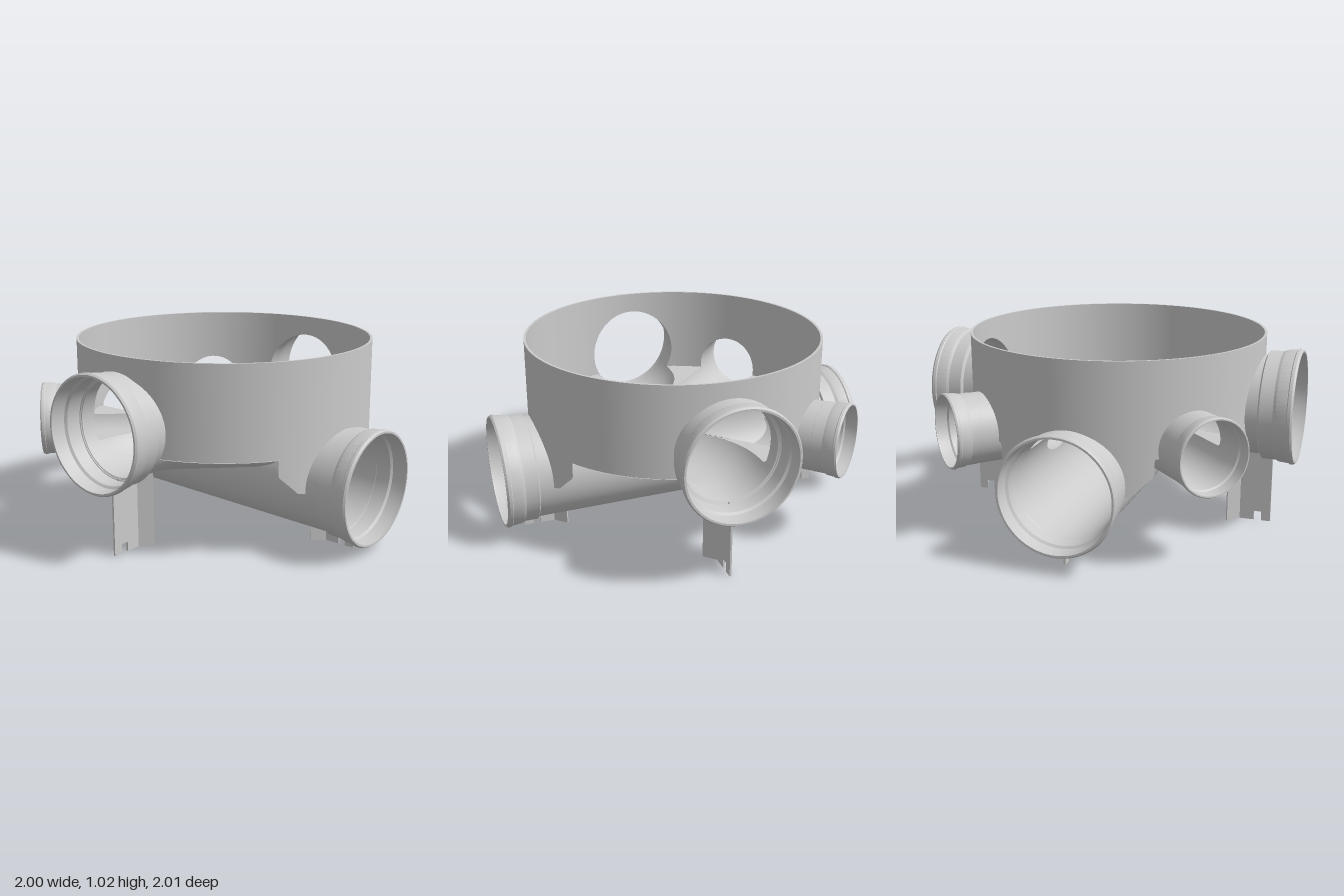
import * as THREE from 'three';
import { toCreasedNormals } from 'three/addons/utils/BufferGeometryUtils.js';

const V = (x, y, z) => new THREE.Vector3(x, y, z);
const material = new THREE.MeshStandardMaterial({ color: 0xcccccc, side: THREE.DoubleSide });

const R_OUT = 0.8, R_IN = 0.787, TOP = 1.02, FLOOR = 0.54;

// Keeps the part of a surface where keep(x, y, z) > 0, splitting triangles on the border
function clip(geometry, keep) {
  const g = geometry.index ? geometry.toNonIndexed() : geometry;
  const p = g.attributes.position, n = g.attributes.normal;
  const pos = [], nor = [];
  const put = (v) => { pos.push(v[0], v[1], v[2]); nor.push(v[3], v[4], v[5]); };
  for (let i = 0; i < p.count; i += 3) {
    const tri = [i, i + 1, i + 2].map((j) => {
      const x = p.getX(j), y = p.getY(j), z = p.getZ(j);
      return [x, y, z, n.getX(j), n.getY(j), n.getZ(j), keep(x, y, z)];
    });
    const poly = [];
    tri.forEach((a, k) => {
      const b = tri[(k + 1) % 3];
      if (a[6] > 0) poly.push(a);
      if ((a[6] > 0) !== (b[6] > 0)) {
        const t = a[6] / (a[6] - b[6]);
        poly.push(a.map((c, m) => c + (b[m] - c) * t));
      }
    });
    for (let k = 2; k < poly.length; k++) [poly[0], poly[k - 1], poly[k]].forEach(put);
  }
  const out = new THREE.BufferGeometry();
  out.setAttribute('position', new THREE.Float32BufferAttribute(pos, 3));
  out.setAttribute('normal', new THREE.Float32BufferAttribute(nor, 3));
  return out;
}

// Pipe centre lines; s is the side (+1 left, -1 right)
const mainPath = () => new THREE.LineCurve3(V(0, 0.349, 0.83), V(0, 0.391, -0.83));
const branchPath = (s) => new THREE.LineCurve3(V(s * 0.608, 0.57, -0.608), V(0, 0.57, 0));
function sidePath(s) {
  const path = new THREE.CurvePath();
  const a = V(s * 0.83, 0.66, 0), b = V(s * 0.695, 0.66, 0), corner = V(s * 0.57, 0.66, 0);
  const c = V(s * 0.482, 0.66, 0.088), d = V(s * 0.035, 0.66, 0.535);
  path.add(new THREE.LineCurve3(a, b));
  path.add(new THREE.QuadraticBezierCurve3(b, corner, c));
  path.add(new THREE.LineCurve3(c, d));
  return path;
}

// Signed distance to the hollow inside a pipe, mirrored in x
function hollow(path, radius) {
  const pts = path.getPoints(8), line = new THREE.Line3(), q = V(0, 0, 0), near = V(0, 0, 0);
  return (x, y, z) => {
    q.set(Math.abs(x), y, z);
    let best = Infinity;
    for (let i = 1; i < pts.length; i++) {
      line.set(pts[i - 1], pts[i]).closestPointToPoint(q, true, near);
      best = Math.min(best, near.distanceTo(q));
    }
    return best - radius;
  };
}

const RADII = { main: [0.265, 0.275], side: [0.25, 0.262], branch: [0.175, 0.185] };
const hollows = {
  main: hollow(mainPath(), RADII.main[0]),
  side: hollow(sidePath(1), RADII.side[0]),
  branch: hollow(branchPath(1), RADII.branch[0]),
};
const outsideAll = (x, y, z, skip) =>
  Math.min(...Object.keys(hollows).filter((k) => k !== skip).map((k) => hollows[k](x, y, z)));

function add(parent, name, geometry) {
  const mesh = new THREE.Mesh(geometry, material);
  mesh.name = name;
  parent.add(mesh);
  return mesh;
}

// Pipe that is whole outside the chamber and an open channel inside it
function addPipe(parent, name, kind, path, along, around) {
  const pipe = new THREE.Group();
  pipe.name = name;
  RADII[kind].forEach((r, i) => {
    const tube = new THREE.TubeGeometry(path, along, r, around, false);
    const opened = clip(tube, (x, y, z) => Math.max(Math.hypot(x, z) - R_IN, FLOOR - y));
    add(pipe, i ? 'pipeOuter' : 'pipeInner', clip(opened, (x, y, z) => outsideAll(x, y, z, kind)));
  });
  parent.add(pipe);
}

// Flared socket with a lip, turned around the pipe direction
function addSocket(parent, name, kind, origin, dir, k = 1, ka = 1) {
  const profile = [
    [0, 0.27], [0.01, 0.287], [0.08, 0.287], [0.095, 0.295], [0.15, 0.3], [0.155, 0.305],
    [0.17, 0.305], [0.18, 0.298], [0.18, 0.288], [0.165, 0.29], [0.1, 0.284], [0.09, 0.272],
    [0.01, 0.27], [0, RADII[kind][0] / k],
  ].map(([a, r]) => new THREE.Vector2(r * k, a * ka));
  const geo = toCreasedNormals(new THREE.LatheGeometry(profile, 72), 0.4);
  const mesh = add(parent, name, geo);
  mesh.position.copy(origin);
  mesh.quaternion.setFromUnitVectors(V(0, 1, 0), dir.clone().normalize());
}

// Chamber wall with pipe openings, dipping into skirts around the main pipe
function addWall(parent) {
  const wall = new THREE.Group();
  wall.name = 'chamberWall';
  const low = 0.3, h = TOP - low;
  const shape = (x, y) => {
    const ax = Math.abs(x);
    const skirt = Math.min(0.4 - ax, y - Math.max(0.34, ax + 0.04));
    return Math.max(y - FLOOR + 0.007, skirt);
  };
  [R_OUT, R_IN].forEach((r, i) => {
    const cyl = new THREE.CylinderGeometry(r, r, h, 160, 48, true).translate(0, low + h / 2, 0);
    const cut = clip(cyl, shape);
    add(wall, i ? 'wallInner' : 'wallOuter', clip(cut, (x, y, z) => outsideAll(x, y, z)));
  });
  add(wall, 'rim', new THREE.RingGeometry(R_IN, R_OUT, 160).rotateX(-Math.PI / 2).translate(0, TOP, 0));
  parent.add(wall);
}

// Flat floor between the channels, top and underside
function addFloor(parent) {
  [1, -1].forEach((s) => {
    const ring = new THREE.RingGeometry(0.15, R_OUT - 0.002, 160, 24);
    ring.rotateX(-s * Math.PI / 2).translate(0, s > 0 ? FLOOR : FLOOR - 0.01, 0);
    add(parent, s > 0 ? 'floorTop' : 'floorUnderside', clip(ring, (x, y, z) => outsideAll(x, y, z)));
  });
}

// Y-shaped foot: notched radial plate with two slanted wings
function addLeg(parent, name, height, angle) {
  const leg = new THREE.Group();
  leg.name = name;
  const t = 0.01;
  const outline = [[0.7, 0], [0.78, 0], [0.78, 0.05], [0.82, 0.05], [0.82, 0], [0.87, 0],
    [0.87, height - 0.02], [0.83, height - 0.02], [0.83, height], [0.7, height]];
  const shape = new THREE.Shape(outline.map(([x, y]) => new THREE.Vector2(x, y)));
  add(leg, 'notchedPlate',
    new THREE.ExtrudeGeometry(shape, { depth: t, bevelEnabled: false }).translate(0, 0, -t / 2));
  [1, -1].forEach((s) => {
    const wing = add(leg, 'wing', new THREE.BoxGeometry(0.085, height, t));
    wing.position.set(0.67, height / 2, s * 0.03);
    wing.rotation.y = s * Math.PI / 4;
  });
  leg.rotation.y = angle;
  parent.add(leg);
}

export function createModel() {
  const model = new THREE.Group();
  model.name = 'inspectionChamberBase';
  addWall(model);
  addFloor(model);

  // Main run, falling slightly towards the front
  addPipe(model, 'mainPipe', 'main', mainPath(), 64, 96);
  addSocket(model, 'frontSocket', 'main', V(0, 0.3495, 0.82), V(0, -0.025, 1));
  addSocket(model, 'backSocket', 'main', V(0, 0.3905, -0.82), V(0, 0.025, -1));

  // Curved side inlets and diagonal back inlets
  [1, -1].forEach((s) => {
    const side = s > 0 ? 'left' : 'right';
    addPipe(model, side + 'SidePipe', 'side', sidePath(s), 48, 72);
    addSocket(model, side + 'SideSocket', 'side', V(s * 0.82, 0.66, 0), V(s, 0, 0));
    addPipe(model, side + 'BackPipe', 'branch', branchPath(s), 40, 64);
    addSocket(model, side + 'BackSocket', 'branch', V(s * 0.603, 0.57, -0.603), V(s, 0, -1), 0.65, 0.8);
  });

  addLeg(model, 'leftLeg', 0.402, 0);
  addLeg(model, 'rightLeg', 0.402, Math.PI);
  addLeg(model, 'frontLeg', 0.084, -Math.PI / 2);
  addLeg(model, 'backLeg', 0.12, Math.PI / 2);
  return model;
}
